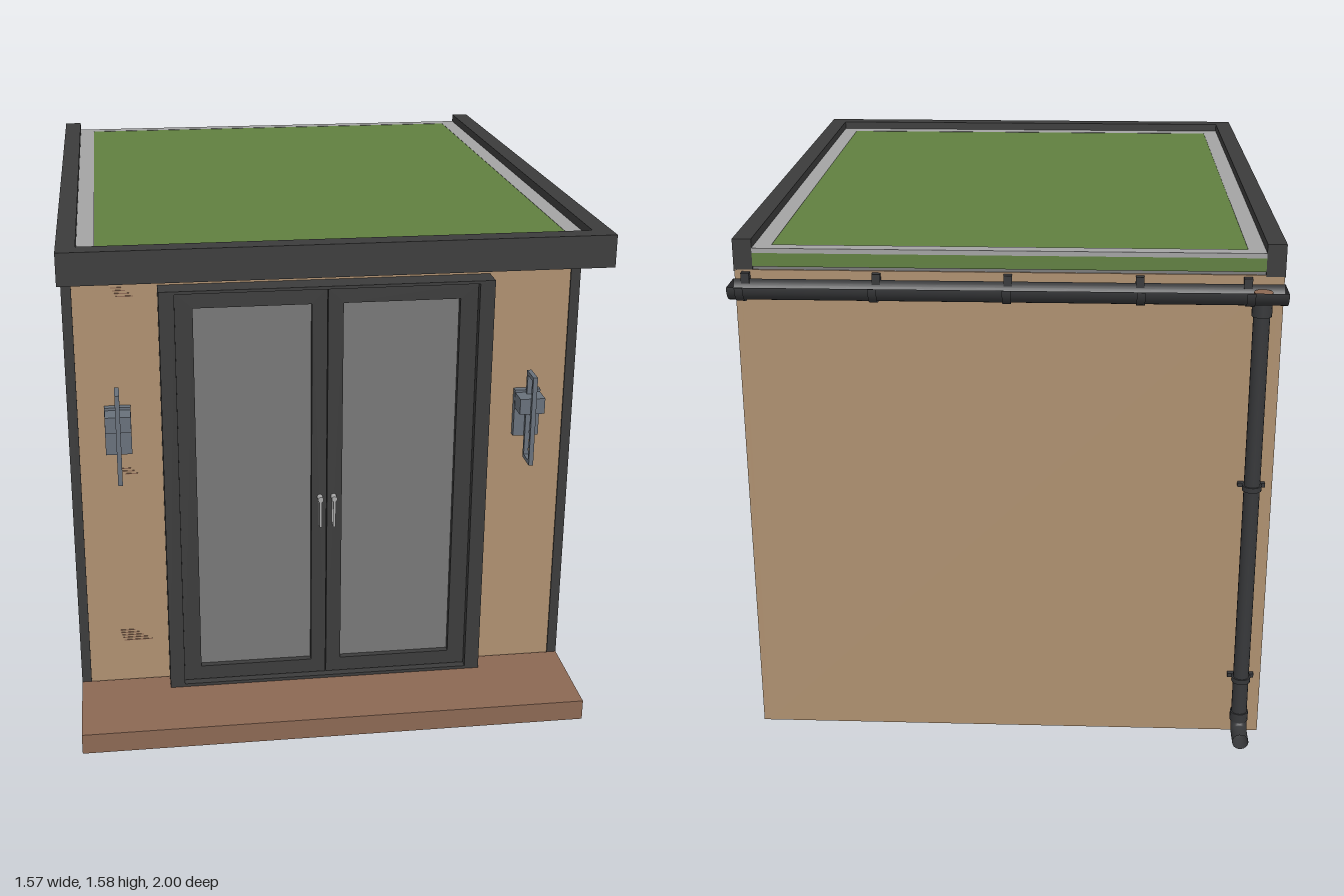
import * as THREE from 'three';

const mat = (name, color, side = THREE.FrontSide) => {
  const m = new THREE.MeshStandardMaterial({ color, side });
  m.name = name;
  return m;
};

export function createModel() {
  const root = new THREE.Group();
  root.name = 'gardenRoom';
  const tan = mat('timberCladding', 0xae9070);
  const dark = mat('charcoalTrim', 0x3b3b3b);
  const pipeMat = mat('gutterCharcoal', 0x37383a, THREE.DoubleSide);
  const glass = mat('greyGlass', 0x777777);
  const slabGrey = mat('slabGrey', 0x7b7b7b);
  const gravel = mat('gravelGrey', 0xa3a3a3);
  const grass = mat('grassGreen', 0x607f40);
  const brown = mat('deckBrown', 0x8b6853);
  const metal = mat('lampSteel', 0x68707a);
  const silver = mat('handleSilver', 0xa8a8a8);

  const add = (name, geo, material, parent = root) => {
    const m = new THREE.Mesh(geo, material);
    m.name = name;
    parent.add(m);
    return m;
  };
  // Box from its minimum and maximum on each axis
  const box = (name, material, x0, x1, y0, y1, z0, z1, parent = root) => {
    const m = add(name, new THREE.BoxGeometry(x1 - x0, y1 - y0, z1 - z0), material, parent);
    m.position.set((x0 + x1) / 2, (y0 + y1) / 2, (z0 + z1) / 2);
    return m;
  };
  const rect = (S, a0, a1, b0, b1) => {
    const s = new S();
    s.moveTo(a0, b0); s.lineTo(a1, b0); s.lineTo(a1, b1); s.lineTo(a0, b1); s.closePath();
    return s;
  };
  // Extruded panel with rectangular holes
  const panel = (outer, holes, depth) => {
    const s = rect(THREE.Shape, ...outer);
    holes.forEach(h => s.holes.push(rect(THREE.Path, ...h)));
    return new THREE.ExtrudeGeometry(s, { depth, bevelEnabled: false });
  };
  // Panel on the +x side: shape coordinates are (-z, y)
  const sidePanel = (name, material, outer, holes, x0, x1) => {
    const m = add(name, panel(outer, holes, x1 - x0), material);
    m.rotation.y = Math.PI / 2;
    m.position.x = x0;
    return m;
  };

  // Walls: thin cladding around an inset floor slab
  sidePanel('rightWall', tan, [-0.63, 0.89, 0, 1.49], [[-0.25, 0.46, 1.16, 1.37]], 0.765, 0.783);
  box('leftWall', tan, -0.783, -0.765, 0, 1.49, -0.89, 0.63);
  box('backWall', tan, -0.765, 0.765, 0, 1.49, -0.89, -0.872);
  box('frontWall', tan, -0.757, 0.757, 0, 1.49, 0.64, 0.685);
  box('floorSlab', slabGrey, -0.71, 0.71, 0, 0.06, -0.82, 0.64);

  // Front deck and corner posts
  box('deck', brown, -0.785, 0.785, 0, 0.065, 0.69, 1);
  for (const s of [-1, 1]) {
    const post = box('cornerPost', dark, -0.015, 0.015, 0, 1.49, 0.62, 0.69);
    post.position.x = s * 0.77;
  }

  // Roof: fascia on three sides, slab, gravel border and grass
  box('frontFascia', dark, -0.785, 0.785, 1.485, 1.58, 0.94, 1);
  box('leftFascia', dark, 0.73, 0.785, 1.485, 1.58, -0.89, 0.94);
  box('rightFascia', dark, -0.785, -0.73, 1.485, 1.58, -0.89, 0.94);
  box('soffit', slabGrey, -0.73, 0.73, 1.49, 1.5, -0.885, 0.94);
  box('grassBed', grass, -0.73, 0.73, 1.5, 1.54, -0.892, 0.94);
  const border = add('gravelBorder',
    panel([-0.73, 0.73, -0.94, 0.893], [[-0.68, 0.68, -0.89, 0.85]], 0.014), gravel);
  border.rotation.x = -Math.PI / 2;
  border.position.y = 1.54;
  box('grassTop', grass, -0.68, 0.68, 1.54, 1.553, -0.85, 0.89);

  // Double doors
  const frame = add('doorFrame',
    panel([-0.503, 0.503, 0.065, 1.387], [[-0.457, 0.457, 0.075, 1.378]], 0.075), dark);
  frame.position.z = 0.685;
  for (const s of [-1, 1]) {
    const door = new THREE.Group();
    door.name = s > 0 ? 'leftDoor' : 'rightDoor';
    door.position.x = s * 0.2285;
    root.add(door);
    const leaf = add('doorLeaf',
      panel([-0.2275, 0.2275, 0.078, 1.375],
        [s > 0 ? [-0.181, 0.174, 0.125, 1.328] : [-0.174, 0.181, 0.125, 1.328]], 0.05), dark, door);
    leaf.position.z = 0.69;
    box('doorGlass', glass, -0.19, 0.19, 0.11, 1.34, 0.69, 0.72, door);
    // Lever handle with a round rose
    const hx = -s * 0.207;
    box('handlePlate', silver, hx - 0.006, hx + 0.006, 0.605, 0.69, 0.74, 0.746, door);
    box('handleLever', silver, hx - 0.004, hx + 0.004, 0.605, 0.7, 0.756, 0.764, door);
    const rose = add('handleRose', new THREE.CylinderGeometry(0.009, 0.009, 0.026, 12), silver, door);
    rose.rotation.x = Math.PI / 2;
    rose.position.set(hx, 0.7, 0.752);
  }

  // Side window: outer frame, sash, glass and latch
  sidePanel('windowFrame', dark, [-0.272, 0.478, 1.14, 1.39], [[-0.245, 0.452, 1.164, 1.366]], 0.75, 0.788);
  sidePanel('windowSash', dark, [-0.245, 0.452, 1.164, 1.366], [[-0.23, 0.43, 1.19, 1.342]], 0.75, 0.778);
  box('windowGlass', glass, 0.75, 0.762, 1.18, 1.35, -0.44, 0.24);
  box('windowLatch', silver, 0.775, 0.786, 1.17, 1.182, -0.145, -0.062);

  // Wall lamps: back plate, shade block and upright loop
  for (const s of [-1, 1]) {
    const lamp = new THREE.Group();
    lamp.name = 'wallLamp';
    lamp.position.x = s * 0.635;
    root.add(lamp);
    box('lampPlate', metal, -0.04, 0.04, 0.86, 1.013, 0.685, 0.706, lamp);
    box('lampBlock', metal, -0.039, 0.039, 0.955, 1.005, 0.706, 0.768, lamp);
    const loop = add('lampLoop',
      panel([-0.785, -0.71, 0.79, 1.08], [[-0.772, -0.723, 0.803, 1.067]], 0.014), metal, lamp);
    loop.rotation.y = Math.PI / 2;
    loop.position.x = -0.007;
  }

  // Half-round gutter with end caps and hangers
  const gy = 1.468, gz = -0.952, gr = 0.046;
  const gutter = add('gutter',
    new THREE.CylinderGeometry(gr, gr, 1.57, 20, 1, true, 0, Math.PI), pipeMat);
  gutter.rotation.set(0, 0, -Math.PI / 2);
  gutter.geometry.rotateY(0);
  gutter.position.set(0, gy, gz);
  for (const s of [-1, 1]) {
    const cap = add('gutterCap', new THREE.CircleGeometry(gr, 20, Math.PI, Math.PI), pipeMat);
    cap.rotation.y = Math.PI / 2;
    cap.position.set(s * 0.784, gy, gz);
  }
  for (const x of [-0.68, -0.375, 0, 0.375, 0.75]) {
    box('gutterHanger', pipeMat, x - 0.012, x + 0.012, 1.455, 1.485, -0.91, -0.888);
    const band = add('gutterBand',
      new THREE.CylinderGeometry(gr + 0.004, gr + 0.004, 0.024, 16, 1, true, 0, Math.PI), pipeMat);
    band.rotation.z = -Math.PI / 2;
    band.position.set(x, gy, gz);
  }

  // Downpipe with a curved foot
  const px = -0.72, pz = -0.92;
  const pipe = (name, r, y0, y1) => {
    const m = add(name, new THREE.CylinderGeometry(r, r, y1 - y0, 18), pipeMat);
    m.position.set(px, (y0 + y1) / 2, pz);
  };
  pipe('downpipe', 0.024, 0.07, 1.43);
  pipe('upperCollar', 0.029, 1.38, 1.44);
  pipe('footCollar', 0.028, 0.06, 0.09);
  const bend = new THREE.CatmullRomCurve3([
    [0.08, pz], [0.05, pz - 0.003], [0.032, pz - 0.018], [0.026, pz - 0.045], [0.026, -1]
  ].map(([y, z]) => new THREE.Vector3(px, y, z)));
  add('footElbow', new THREE.TubeGeometry(bend, 16, 0.025, 18), pipeMat);
  for (const y of [0.205, 0.85]) {
    pipe('pipeClip', 0.029, y - 0.008, y + 0.008);
    box('clipArm', pipeMat, px - 0.04, px + 0.04, y - 0.006, y + 0.006, -0.905, -0.888);
  }
  // Outlet seen inside the gutter
  const outlet = add('gutterOutlet', new THREE.CylinderGeometry(0.027, 0.027, 0.008, 18), brown);
  outlet.position.set(px, 1.45, -0.935);

  // Small grain marks on the front cladding
  for (const [y, n, w] of [[1.355, 4, 0.05], [0.785, 3, 0.04], [0.205, 5, 0.09]]) {
    for (let i = 0; i < n; i++) {
      const x = -0.6 - i * 0.008, h = w * (1 - i * 0.12) / 2;
      box('grainMark', brown, x - h, x + h, y + i * 0.009, y + i * 0.009 + 0.003, 0.684, 0.687);
    }
  }
  return root;
}
